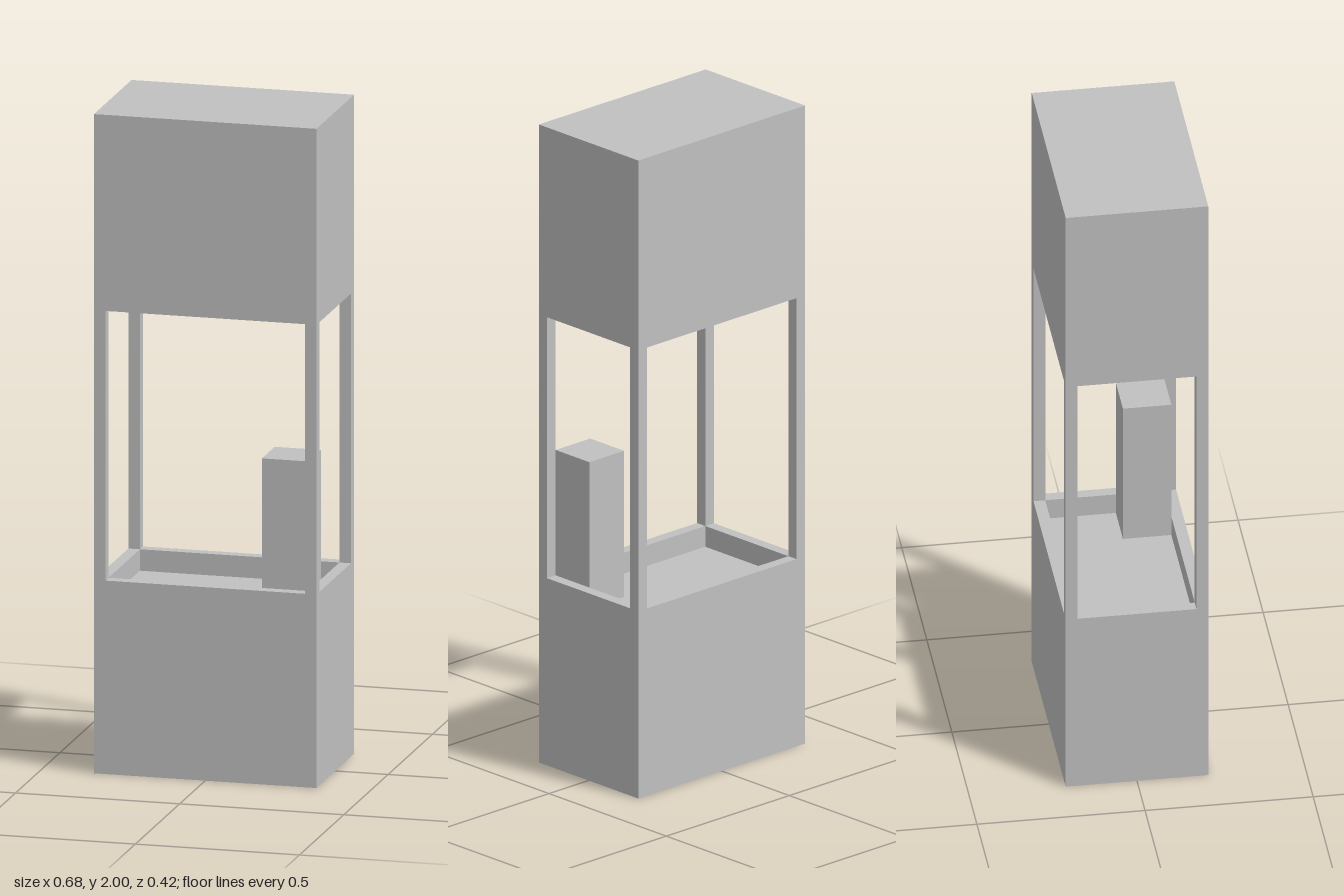
import * as THREE from 'three';

const W = 0.678, D = 0.424, H = 2;   // overall size
const T = 0.035;                     // post and rim thickness
const FLOOR = 0.522, SILL = 0.587;   // recessed floor and top of lower cabinet
const LINTEL = 1.405, CEILING = 1.465; // underside of upper cabinet and recessed ceiling

export function createModel() {
  const group = new THREE.Group();
  const grey = new THREE.MeshStandardMaterial({ color: 0xc0c0c0 });
  grey.name = 'grey';

  const add = (name, geometry) => {
    const mesh = new THREE.Mesh(geometry, grey);
    mesh.name = name;
    group.add(mesh);
  };

  // Box given by its lower and upper corners
  const box = (name, x0, x1, y0, y1, z0, z1) => {
    const g = new THREE.BoxGeometry(x1 - x0, y1 - y0, z1 - z0);
    g.translate((x0 + x1) / 2, (y0 + y1) / 2, (z0 + z1) / 2);
    add(name, g);
  };

  // Rectangular rim around a recess
  const rectangle = (target, w, d) => {
    target.moveTo(-w, -d);
    target.lineTo(w, -d);
    target.lineTo(w, d);
    target.lineTo(-w, d);
    target.closePath();
    return target;
  };
  const rim = (name, y0, y1) => {
    const shape = rectangle(new THREE.Shape(), W / 2, D / 2);
    shape.holes.push(rectangle(new THREE.Path(), W / 2 - T, D / 2 - T));
    const g = new THREE.ExtrudeGeometry(shape, { depth: y1 - y0, bevelEnabled: false });
    g.rotateX(-Math.PI / 2);
    g.translate(0, y0, 0);
    add(name, g);
  };

  // Lower cabinet with sunken floor
  box('lowerCabinet', -W / 2, W / 2, 0, FLOOR, -D / 2, D / 2);
  rim('lowerRim', FLOOR, SILL);

  // Upper cabinet with raised ceiling
  box('upperCabinet', -W / 2, W / 2, CEILING, H, -D / 2, D / 2);
  rim('upperRim', LINTEL, CEILING);

  // Four corner posts
  for (const sx of [-1, 1]) {
    for (const sz of [-1, 1]) {
      const x = sx * (W - T) / 2, z = sz * (D - T) / 2;
      const name = (sz > 0 ? 'front' : 'back') + (sx > 0 ? 'Left' : 'Right') + 'Post';
      box(name, x - T / 2, x + T / 2, SILL, LINTEL, z - T / 2, z + T / 2);
    }
  }

  // Pedestal block standing in the front left corner of the recess
  box('pedestal', 0.163, W / 2 - T, FLOOR, 0.98, 0.033, D / 2 - T);

  return group;
}
